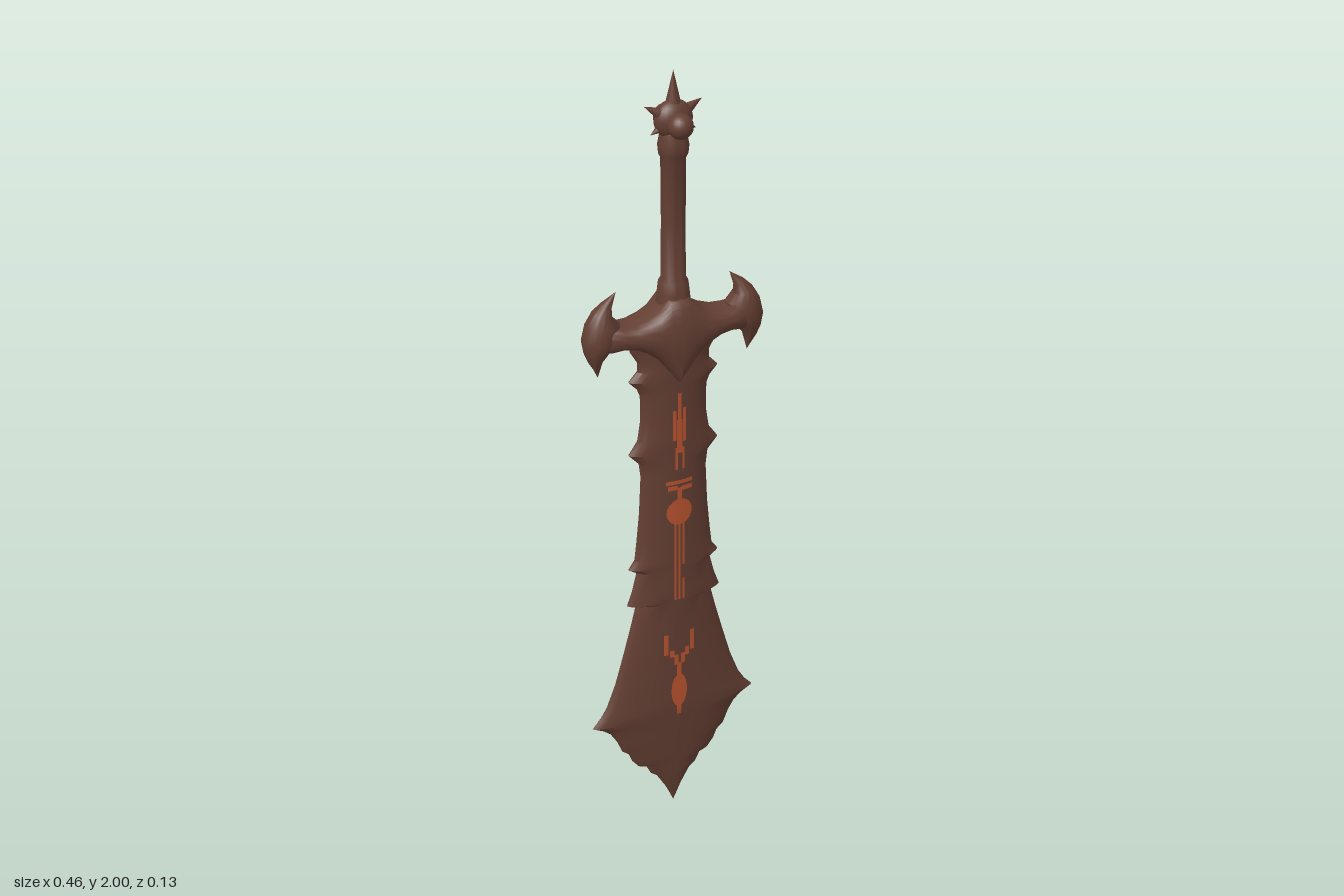
import * as THREE from 'three';
import { toCreasedNormals } from 'three/addons/utils/BufferGeometryUtils.js';

const SIDES = 28;

// Skin of rounded sections; each station spans A to B with half thickness t:
// [ax, ay, bx, by, t]. Power p sets blocky (<1) or lens-like (>1) sections.
function loft(stations, p, crease = 0.6) {
  const pos = [], index = [];
  for (const [ax, ay, bx, by, t] of stations) {
    for (let j = 0; j < SIDES; j++) {
      const a = (j / SIDES) * Math.PI * 2, u = (1 + Math.cos(a)) / 2, s = Math.sin(a);
      pos.push(ax + (bx - ax) * u, ay + (by - ay) * u, t * Math.sign(s) * Math.pow(Math.abs(s), p));
    }
  }
  for (let i = 0; i < stations.length - 1; i++) {
    for (let j = 0; j < SIDES; j++) {
      const k = (j + 1) % SIDES, a = i * SIDES, b = a + SIDES;
      index.push(a + j, b + j, a + k, b + j, b + k, a + k);
    }
  }
  const g = new THREE.BufferGeometry();
  g.setAttribute('position', new THREE.Float32BufferAttribute(pos, 3));
  g.setIndex(index);
  return toCreasedNormals(g, crease);
}

// Blade outline: [height, half width]
const EDGE = [
  [0, 0], [0.05, 0.022], [0.095, 0.048], [0.108, 0.065], [0.135, 0.078], [0.142, 0.1], [0.165, 0.118],
  [0.19, 0.128], [0.205, 0.146], [0.24, 0.16], [0.27, 0.178], [0.288, 0.2], [0.302, 0.228], [0.325, 0.207],
  [0.355, 0.188], [0.42, 0.163], [0.5, 0.14], [0.58, 0.118], [0.64, 0.103], [0.645, 0.127], [0.68, 0.114],
  [0.735, 0.1], [0.748, 0.122], [0.77, 0.106], [0.82, 0.1], [0.9, 0.092], [1.0, 0.087], [1.04, 0.092],
  [1.068, 0.118], [1.1, 0.095], [1.15, 0.087], [1.22, 0.087], [1.24, 0.095], [1.262, 0.116], [1.285, 0.094],
  [1.31, 0.094], [1.34, 0.112], [1.38, 0.12],
];
const BLADE_POWER = 1.2;
const thickness = y => 0.033 * Math.pow(Math.min(1, y / 0.32), 0.75);
function halfWidth(y) {
  const i = Math.max(1, EDGE.findIndex(e => e[0] >= y));
  const [y0, w0] = EDGE[i - 1], [y1, w1] = EDGE[i];
  return w0 + (w1 - w0) * (y - y0) / (y1 - y0);
}
const bladeZ = (x, y) => thickness(y) * Math.pow(1 - (x / halfWidth(y)) ** 2, BLADE_POWER / 2);

// Thin face laid over the front of the blade
function inlay(geometry, x, y) {
  geometry.translate(x, y, 0);
  const p = geometry.attributes.position;
  for (let i = 0; i < p.count; i++) p.setZ(i, bladeZ(p.getX(i), p.getY(i)) + 0.002);
  geometry.computeVertexNormals();
  return geometry;
}

export function createModel() {
  const sword = new THREE.Group();
  sword.name = 'sword';
  const bronze = new THREE.MeshStandardMaterial({ color: 0x643f33 });
  bronze.name = 'dark bronze';
  const ember = new THREE.MeshStandardMaterial({ color: 0xb9532f });
  ember.name = 'ember orange';
  const add = (parent, name, geometry, material = bronze) => {
    const m = new THREE.Mesh(geometry, material);
    m.name = name;
    parent.add(m);
    return m;
  };

  // Blade with its barbs and flared tip
  add(sword, 'blade', loft(EDGE.map(([y, w]) => [-w, y, w, y, thickness(y)]), BLADE_POWER, 0.5));

  // Glowing runes on the front: [x, y, width, height]
  const runes = new THREE.Group();
  runes.name = 'runes';
  sword.add(runes);
  const strokes = [
    [0, 1.19, 0.01, 0.07], [-0.013, 1.14, 0.008, 0.08], [0.013, 1.14, 0.008, 0.09], [0, 1.11, 0.014, 0.09],
    [-0.008, 1.05, 0.006, 0.06], [0.01, 1.05, 0.005, 0.06], [0, 0.985, 0.07, 0.01], [-0.018, 0.97, 0.025, 0.012],
    [0.02, 0.967, 0.03, 0.012], [0, 0.95, 0.012, 0.04], [-0.011, 0.76, 0.006, 0.22], [0, 0.76, 0.006, 0.22],
    [0.011, 0.81, 0.005, 0.12], [0.011, 0.68, 0.006, 0.06], [-0.036, 0.52, 0.012, 0.06], [0.036, 0.52, 0.012, 0.06],
    [-0.02, 0.49, 0.012, 0.02], [0.022, 0.49, 0.012, 0.025], [-0.008, 0.47, 0.012, 0.03], [0.01, 0.472, 0.012, 0.03],
    [0, 0.435, 0.012, 0.05], [0, 0.32, 0.012, 0.04],
  ];
  for (const [x, y, w, h] of strokes) {
    add(runes, 'runeStroke', inlay(new THREE.PlaneGeometry(w, h, 4, 10), x, y), ember);
  }
  for (const [y, rx, ry] of [[0.902, 0.034, 0.036], [0.375, 0.022, 0.05]]) {
    const disc = new THREE.RingGeometry(0.001, 1, 20, 4).scale(rx, ry, 1);
    add(runes, 'runeDisc', inlay(disc, 0, y), ember);
  }

  // Crossguard: ridged body between two hooked ends, [x, top, bottom, half thickness]
  const guard = new THREE.Group();
  guard.name = 'crossguard';
  guard.rotation.y = -0.05;
  sword.add(guard);
  const half = [
    [0, 1.475, 1.25, 0.067], [0.025, 1.468, 1.283, 0.064], [0.05, 1.438, 1.318, 0.06], [0.075, 1.424, 1.338, 0.056],
    [0.105, 1.414, 1.354, 0.051], [0.135, 1.414, 1.358, 0.046], [0.165, 1.42, 1.354, 0.041],
    [0.19, 1.41, 1.36, 0.03], [0.2, 1.385, 1.385, 0],
  ];
  const span = [...half.slice(1).reverse().map(([x, ...r]) => [-x, ...r]), ...half];
  add(guard, 'guardBody', loft(span.map(([x, top, bottom, t]) => [x, top, x, bottom, t]), 0.5));
  const hook = loft([
    [0.19, 1.288, 0.19, 1.288, 0], [0.185, 1.31, 0.2, 1.31, 0.012], [0.179, 1.333, 0.212, 1.33, 0.022],
    [0.16, 1.357, 0.222, 1.355, 0.033], [0.135, 1.385, 0.227, 1.385, 0.041], [0.135, 1.418, 0.218, 1.423, 0.037],
    [0.154, 1.44, 0.2, 1.453, 0.027], [0.154, 1.46, 0.178, 1.474, 0.014], [0.142, 1.497, 0.142, 1.497, 0],
  ], 1);
  for (const [name, turn] of [['leftHook', 0], ['rightHook', Math.PI]]) {
    add(guard, name, hook).rotation.y = turn;
  }

  // Grip with collars at both ends
  const gripProfile = [
    [0, 1.42], [0.042, 1.44], [0.038, 1.475], [0.035, 1.5], [0.029, 1.51], [0.028, 1.65], [0.029, 1.8],
    [0.034, 1.81], [0.036, 1.83], [0.03, 1.86], [0, 1.88],
  ].map(([r, y]) => new THREE.Vector2(r, y));
  add(sword, 'grip', toCreasedNormals(new THREE.LatheGeometry(gripProfile, 24), 0.6));

  // Pommel: flattened core, five spikes, and a knob on each face
  const pommel = new THREE.Group();
  pommel.name = 'pommel';
  pommel.position.y = 1.888;
  sword.add(pommel);
  add(pommel, 'pommelCore', new THREE.SphereGeometry(1, 24, 16).scale(0.046, 0.045, 0.032));
  for (const [degrees, length, radius] of [[0, 0.112, 0.026], [62, 0.08, 0.026], [-62, 0.08, 0.026], [118, 0.064, 0.024], [-118, 0.064, 0.024]]) {
    const spike = new THREE.ConeGeometry(radius, length, 12).translate(0, length / 2, 0);
    add(pommel, 'pommelSpike', spike).rotation.z = THREE.MathUtils.degToRad(degrees);
  }
  for (const side of [1, -1]) {
    add(pommel, 'pommelKnob', new THREE.SphereGeometry(0.029, 20, 14)).position.set(0, -0.006, side * 0.037);
  }
  return sword;
}
